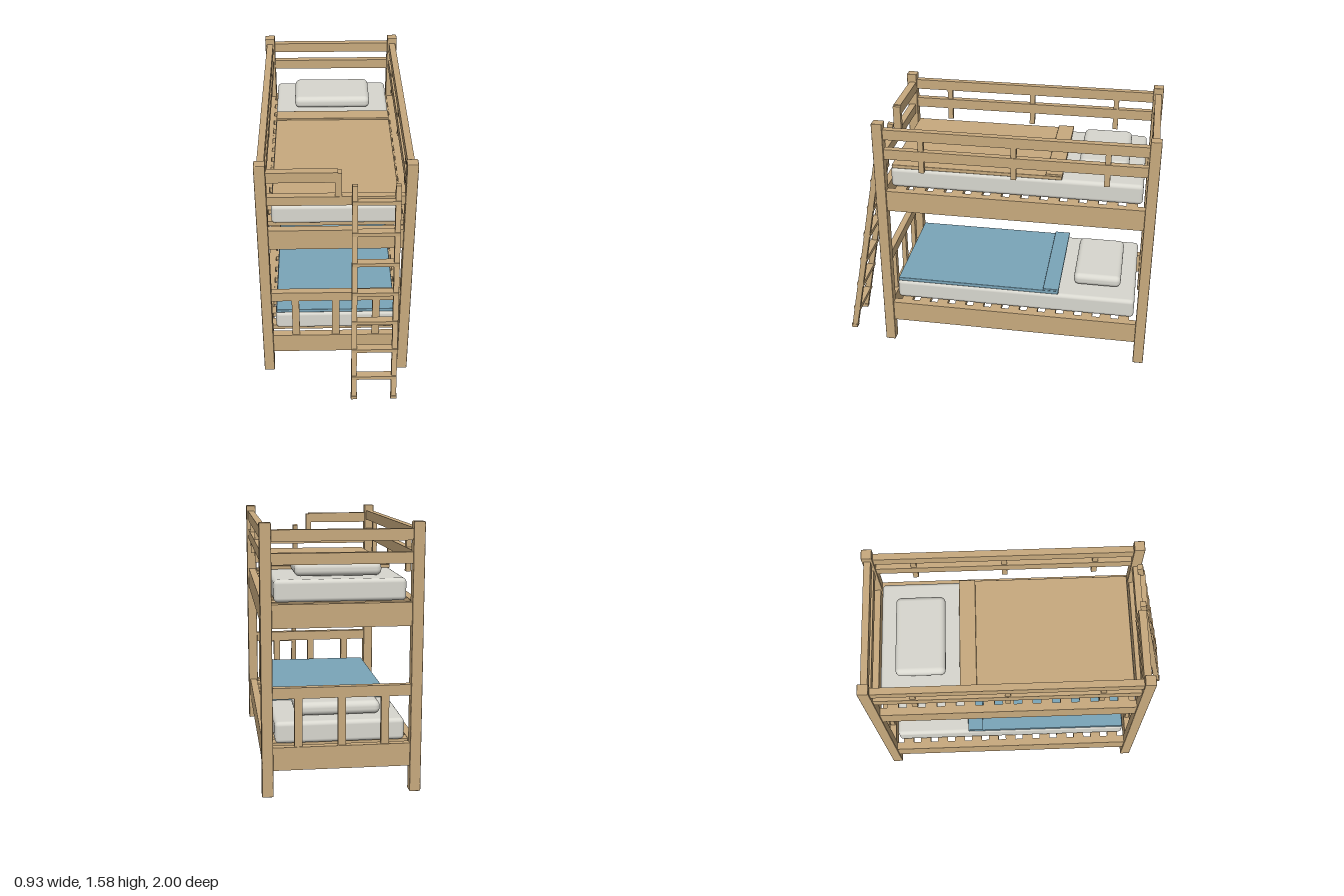
import * as THREE from 'three';
import { RoundedBoxGeometry } from 'three/addons/geometries/RoundedBoxGeometry.js';

const wood = new THREE.MeshStandardMaterial({ name: 'wood', color: 0xc8aa7e });
const linen = new THREE.MeshStandardMaterial({ name: 'linen', color: 0xd8d7cf });
const blue = new THREE.MeshStandardMaterial({ name: 'blueBlanket', color: 0x7aa5b9 });

// Box given by its [min, max] range on each axis; a radius rounds its edges
function block(parent, name, material, [x0, x1], [y0, y1], [z0, z1], radius = 0, segments = 4) {
  const size = [x1 - x0, y1 - y0, z1 - z0];
  const geometry = radius
    ? new RoundedBoxGeometry(...size, segments, radius)
    : new THREE.BoxGeometry(...size);
  const mesh = new THREE.Mesh(geometry, material);
  mesh.name = name;
  mesh.position.set((x0 + x1) / 2, (y0 + y1) / 2, (z0 + z1) / 2);
  parent.add(mesh);
  return mesh;
}

const around = (c, size) => [c - size / 2, c + size / 2];
const FRONT = 0.697, BACK = -0.967; // end frame centre lines
const INNER_X = [-0.4, 0.4], INNER_Z = [-0.935, 0.665];

// One bunk: rails, slats, mattress, pillow and blanket; y is the rail underside
function bunk(name, y, blanketMaterial) {
  const g = new THREE.Group();
  g.name = name;
  const top = y + 0.137;
  for (const s of [-1, 1]) block(g, 'sideRail', wood, around(s * 0.43, 0.048), [y, top], INNER_Z);
  for (const z of [FRONT, BACK]) block(g, 'endRail', wood, INNER_X, [y, top], around(z, 0.045));
  const slats = 13;
  for (let i = 0; i < slats; i++) {
    const z = -0.135 + (i - (slats - 1) / 2) * 0.12;
    block(g, 'slat', wood, [-0.406, 0.406], [top - 0.035, top - 0.003], around(z, 0.07));
  }
  const bed = top + 0.127;
  block(g, 'mattress', linen, [-0.382, 0.382], [top - 0.003, bed], [-0.915, 0.65], 0.025);
  block(g, 'pillow', linen, [-0.255, 0.255], [bed + 0.003, bed + 0.083], [-0.817, -0.51], 0.034);
  block(g, 'blanket', blanketMaterial, [-0.376, 0.376], [bed - 0.002, bed + 0.022], [-0.422, 0.642], 0.004, 1);
  block(g, 'blanketFold', blanketMaterial, [-0.376, 0.376], [bed + 0.02, bed + 0.035], [-0.425, -0.322], 0.004, 1);
  return g;
}

function createLadder() {
  const g = new THREE.Group();
  g.name = 'ladder';
  const slope = 0.189, tilt = Math.atan(slope);
  const centreZ = (y) => 0.981 - slope * y;
  for (const x of [0.109, 0.359]) {
    const length = 1.43 / Math.cos(tilt);
    const rail = block(g, 'ladderRail', wood, around(x, 0.033), around(0.72, length), around(centreZ(0.72), 0.037));
    rail.rotation.x = -tilt;
    block(g, 'ladderFoot', wood, around(x, 0.039), [0, 0.024], [0.96, 1]);
  }
  for (let i = 0; i < 7; i++) {
    const y = 0.159 + i * 0.196;
    block(g, 'rung', wood, [0.094, 0.374], around(y, 0.025), around(centreZ(y), 0.046));
  }
  return g;
}

export function createModel() {
  const model = new THREE.Group();
  model.name = 'bunkBed';

  // Corner posts
  for (const x of [-0.432, 0.432]) {
    for (const z of [FRONT, BACK]) {
      block(model, 'cornerPost', wood, around(x, 0.066), [0, 1.58], around(z, 0.066), 0.005, 1);
    }
  }

  model.add(bunk('lowerBunk', 0.157, blue), bunk('upperBunk', 0.988, wood));

  // Lower headboard and footboard
  for (const z of [FRONT, BACK]) {
    block(model, 'endBoardRail', wood, INNER_X, [0.58, 0.645], around(z, 0.042));
    for (const x of [-0.252, 0, 0.252]) {
      block(model, 'endBoardSpindle', wood, around(x, 0.046), [0.29, 0.582], around(z, 0.03));
    }
  }

  // Upper guard rails along both sides and the back
  for (const [y0, y1] of [[1.345, 1.41], [1.475, 1.54]]) {
    for (const s of [-1, 1]) block(model, 'guardRail', wood, around(s * 0.432, 0.042), [y0, y1], INNER_Z);
    block(model, 'backGuardRail', wood, INNER_X, [y0, y1], around(BACK, 0.042));
  }
  for (const s of [-1, 1]) {
    for (const z of [0.435, -0.133, -0.697]) {
      block(model, 'guardSpindle', wood, around(s * 0.432, 0.03), [1.265, 1.48], around(z, 0.034));
    }
  }

  // Front guard: full lower rail, short upper rail leaving the ladder opening
  block(model, 'frontGuardRail', wood, INNER_X, [1.303, 1.363], around(FRONT, 0.042));
  block(model, 'shortGuardRail', wood, [-0.4, 0.012], [1.457, 1.524], around(0.69, 0.046));
  block(model, 'shortGuardPost', wood, [-0.005, 0.033], [1.36, 1.518], around(0.69, 0.048));

  model.add(createLadder());
  return model;
}
